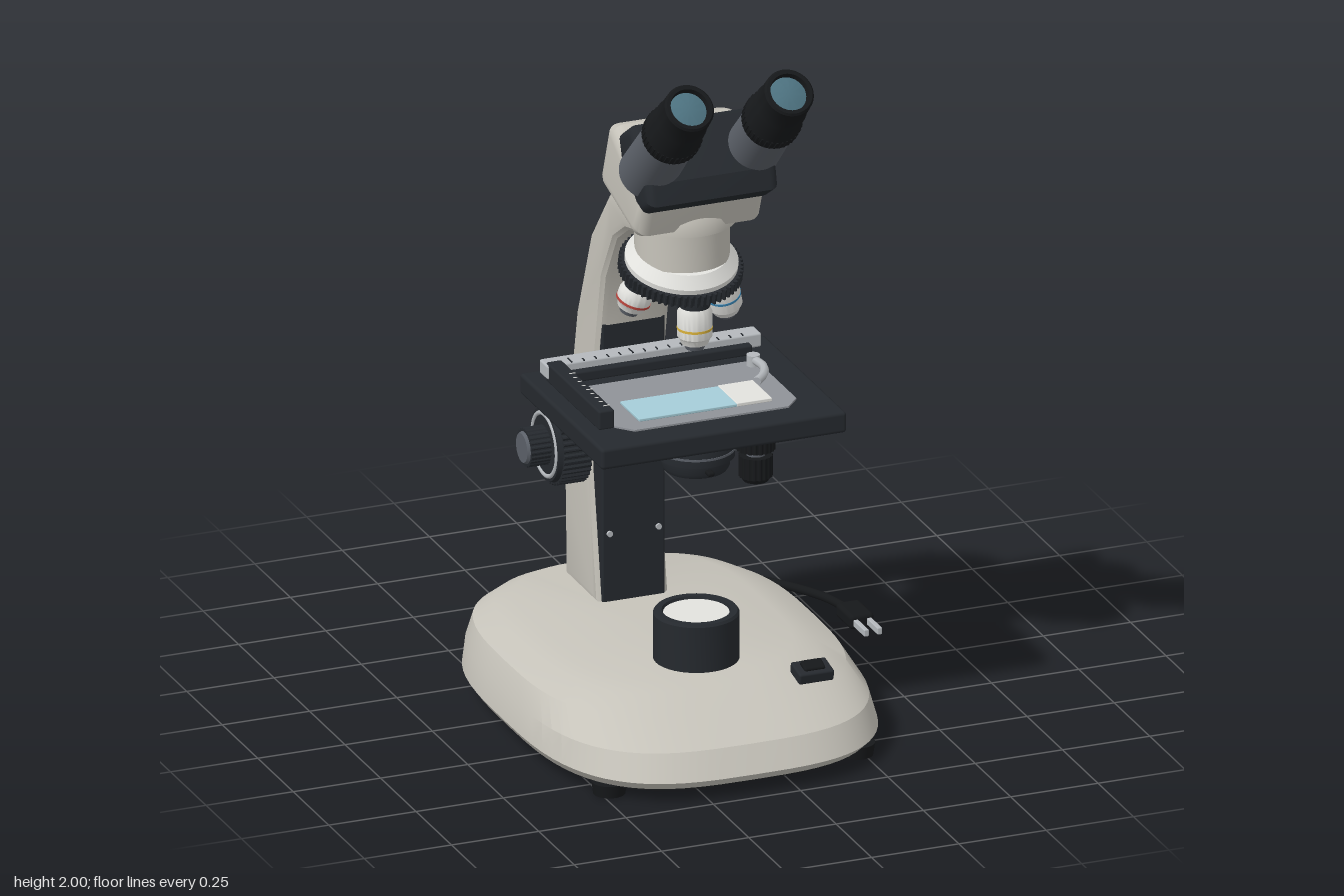
import * as THREE from 'three';
import { toCreasedNormals } from 'three/addons/utils/BufferGeometryUtils.js';
import { RoundedBoxGeometry } from 'three/addons/geometries/RoundedBoxGeometry.js';

const CX = -0.12; // optical axis in x
const mat = (color) => new THREE.MeshStandardMaterial({ color });
const cream = mat(0xc6c3ba), dark = mat(0x25292e), black = mat(0x16181a), slate = mat(0x5b6068),
  silver = mat(0xb4b8bc), plate = mat(0x8f9298), white = mat(0xe2e2de), glass = mat(0x4d7280),
  slideBlue = mat(0xa5cdd8);

function add(parent, name, geo, material, x = 0, y = 0, z = 0) {
  const m = new THREE.Mesh(geo, material);
  m.name = name;
  m.position.set(x, y, z);
  parent.add(m);
  return m;
}
function group(parent, name, x = 0, y = 0, z = 0) {
  const g = new THREE.Group();
  g.name = name;
  g.position.set(x, y, z);
  parent.add(g);
  return g;
}
// Box given by its limits on each axis
function box(parent, name, material, [x0, x1], [y0, y1], [z0, z1], r = 0.006) {
  return add(parent, name, new RoundedBoxGeometry(x1 - x0, y1 - y0, z1 - z0, 2, r), material,
    (x0 + x1) / 2, (y0 + y1) / 2, (z0 + z1) / 2);
}
const cyl = (r1, r0, h) => new THREE.CylinderGeometry(r1, r0, h, 48);
const lathe = (pts) => toCreasedNormals(
  new THREE.LatheGeometry(pts.map(([r, y]) => new THREE.Vector2(r, y)), 48), 0.6);

// Side outline in (z, y), extruded across x and centred, with rounded edges
function sideExtrude(pts, width, bevel, segments = 3) {
  const g = new THREE.ExtrudeGeometry(new THREE.Shape(pts.map(([z, y]) => new THREE.Vector2(z, y))), {
    depth: width - 2 * bevel, bevelThickness: bevel, bevelSize: bevel, bevelOffset: -bevel, bevelSegments: segments });
  g.translate(0, 0, -(width - 2 * bevel) / 2);
  return toCreasedNormals(g.rotateY(-Math.PI / 2), 0.5);
}

// Grooved grip with its axis along y, centred
function grip(r, h, teeth) {
  const pts = [];
  for (let i = 0; i < teeth * 4; i++) {
    const a = (i / (teeth * 4)) * Math.PI * 2, k = i % 4 < 2 ? r : r * 0.95;
    pts.push(new THREE.Vector2(k * Math.cos(a), k * Math.sin(a)));
  }
  const g = new THREE.ExtrudeGeometry(new THREE.Shape(pts), { depth: h, bevelEnabled: false });
  return g.translate(0, 0, -h / 2).rotateX(-Math.PI / 2);
}

// Rounded-rectangle loft: rings of [y, half width, back z, front z]
function loft(rings, n = 3.1, seg = 72) {
  const pos = [], idx = [];
  const pow = (v) => Math.sign(v) * Math.abs(v) ** (2 / n);
  rings.forEach(([y, hx, zb, zf], i) => {
    for (let j = 0; j < seg; j++) {
      const a = (j / seg) * Math.PI * 2;
      pos.push(CX + hx * pow(Math.cos(a)), y, (zb + zf) / 2 + ((zf - zb) / 2) * pow(Math.sin(a)));
      if (i === rings.length - 1) continue;
      const p = i * seg + j, q = i * seg + (j + 1) % seg;
      idx.push(p, p + seg, q, q, p + seg, q + seg);
    }
  });
  const g = new THREE.BufferGeometry();
  g.setAttribute('position', new THREE.Float32BufferAttribute(pos, 3));
  g.setIndex(idx);
  return toCreasedNormals(g, 0.4);
}

function buildBase(root) {
  const g = group(root, 'base');
  add(g, 'baseHousing', loft([[0.035, 0, 0.12, 0.12], [0.035, 0.462, -0.468, 0.71], [0.06, 0.48, -0.485, 0.735],
    [0.13, 0.468, -0.48, 0.69], [0.19, 0.44, -0.465, 0.565], [0.22, 0.375, -0.445, 0.49],
    [0.235, 0.315, -0.42, 0.44], [0.235, 0, 0.1, 0.1]]), cream);
  add(g, 'bottomPlate', loft([[0.025, 0, 0.12, 0.12], [0.025, 0.45, -0.455, 0.695],
    [0.04, 0.45, -0.455, 0.695], [0.04, 0, 0.12, 0.12]]), black);
  for (const x of [-0.355, 0.355]) for (const z of [-0.27, 0.57])
    add(g, 'foot', cyl(0.048, 0.043, 0.035), black, CX + x, 0.0175, z);
  // Lamp with recessed diffuser
  add(g, 'lampHousing', lathe([[0, 0], [0.115, 0], [0.115, 0.13], [0.11, 0.137], [0.092, 0.137], [0.088, 0.125], [0, 0.125]]),
    dark, CX, 0.234, 0.31);
  add(g, 'lampDiffuser', cyl(0.088, 0.088, 0.01), white, CX, 0.359, 0.31);
  // Power switch on the front slope
  const s = group(g, 'powerSwitch', 0.135, 0.23, 0.5);
  s.rotation.x = 0.2;
  box(s, 'switchFrame', dark, [-0.05, 0.05], [-0.02, 0.012], [-0.035, 0.035]);
  box(s, 'switchRocker', black, [-0.03, 0.03], [0, 0.022], [-0.02, 0.02]).rotation.x = 0.15;
}

function buildCord(root) {
  const g = group(root, 'powerCord');
  box(g, 'cordSocket', black, [-0.16, -0.08], [0.08, 0.125], [-0.495, -0.46]);
  const path = [[-0.12, 0.105, -0.48], [-0.12, 0.085, -0.56], [-0.06, 0.045, -0.67], [0.12, 0.02, -0.73],
    [0.3, 0.02, -0.685], [0.44, 0.025, -0.57], [0.53, 0.032, -0.41], [0.56, 0.035, -0.29]];
  add(g, 'cord', new THREE.TubeGeometry(new THREE.CatmullRomCurve3(
    path.map((p) => new THREE.Vector3(...p))), 80, 0.012, 10), black);
  box(g, 'plug', black, [0.525, 0.595], [0.015, 0.057], [-0.3, -0.19], 0.012);
  for (const x of [0.541, 0.579]) box(g, 'prong', silver, [x - 0.007, x + 0.007], [0.025, 0.045], [-0.2, -0.115], 0.003);
}

function buildArm(root) {
  const g = group(root, 'arm');
  add(g, 'armCasting', sideExtrude([[-0.13, 0.225], [-0.19, 0.6], [-0.165, 0.85], [-0.13, 1.03], [-0.1, 1.18],
    [-0.02, 1.32], [0.06, 1.375], [0.16, 1.4], [0.2, 1.49], [0.07, 1.505], [-0.06, 1.445], [-0.19, 1.28],
    [-0.29, 1.02], [-0.35, 0.73], [-0.375, 0.49], [-0.367, 0.225]], 0.21, 0.028), cream, CX);
  box(g, 'rackPanel', dark, [-0.21, -0.03], [0.23, 1.035], [-0.24, -0.13]);
  for (const y of [0.43, 0.93]) for (const x of [-0.19, -0.05])
    add(g, 'panelScrew', cyl(0.008, 0.008, 0.01).rotateX(Math.PI / 2), silver, x, y, -0.128);
  // Coaxial focus knobs, mirrored
  const f = group(g, 'focusKnobs', CX, 0.695, -0.175);
  for (const s of [-1, 1]) {
    const k = group(f, 'focusKnob');
    k.rotation.z = -s * Math.PI / 2;
    add(k, 'focusShaft', cyl(0.032, 0.032, 0.16), silver, 0, 0.09);
    add(k, 'coarseGrip', grip(0.113, 0.08, 40), dark, 0, 0.185);
    add(k, 'coarseRim', cyl(0.1, 0.105, 0.016), dark, 0, 0.23);
    add(k, 'coarseRing', new THREE.TorusGeometry(0.086, 0.007, 8, 48).rotateX(Math.PI / 2), silver, 0, 0.236);
    add(k, 'fineGrip', grip(0.054, 0.062, 24), dark, 0, 0.264);
    add(k, 'fineCap', cyl(0.04, 0.046, 0.01), slate, 0, 0.298);
  }
}

function buildStage(root) {
  const g = group(root, 'stage');
  box(g, 'stagePlate', dark, [-0.47, 0.233], [0.897, 0.957], [-0.075, 0.505], 0.01);
  // Bright insert with clipped front corners
  const ins = new THREE.Shape([[-0.38, 0.09], [0.14, 0.09], [0.14, 0.375], [0.1, 0.42], [-0.34, 0.42], [-0.38, 0.375]]
    .map(([x, z]) => new THREE.Vector2(x, -z)));
  ins.holes.push(new THREE.Path().absarc(CX, -0.31, 0.05, 0, Math.PI * 2, true));
  add(g, 'stageInsert', new THREE.ExtrudeGeometry(ins, { depth: 0.006, bevelEnabled: false }).rotateX(-Math.PI / 2), plate, 0, 0.956);
  box(g, 'slide', slideBlue, [-0.31, 0.07], [0.963, 0.971], [0.24, 0.375], 0.002);
  box(g, 'slideLabel', white, [-0.03, 0.071], [0.963, 0.973], [0.239, 0.376], 0.002);
  // Mechanical slide holder
  box(g, 'crossRuler', silver, [-0.43, 0.185], [0.966, 1.006], [-0.035, 0.022]);
  for (let i = 0; i < 15; i++)
    box(g, 'rulerMark', dark, [-0.36 + i * 0.035, -0.356 + i * 0.035], [1.004, 1.0075], [i % 5 ? 0.005 : -0.01, 0.02], 0.0005);
  box(g, 'rulerMount', dark, [-0.4, 0.15], [0.955, 0.985], [0.015, 0.045]);
  box(g, 'sideRail', dark, [-0.425, -0.38], [0.955, 1.01], [0, 0.375]);
  for (let i = 0; i < 9; i++)
    box(g, 'railMark', white, [-0.4, i % 4 ? -0.388 : -0.381], [1.008, 1.0115], [0.1 + i * 0.03, 0.103 + i * 0.03], 0.0005);
  const clip = [[0.12, 0.12], [0.125, 0.18], [0.105, 0.23], [0.07, 0.27]].map(([x, z]) => new THREE.Vector3(x, 0.98, z));
  add(g, 'slideClip', new THREE.TubeGeometry(new THREE.CatmullRomCurve3(clip), 24, 0.012, 8), silver);
  add(g, 'clipPivot', cyl(0.018, 0.018, 0.035), silver, 0.12, 0.975, 0.12);
  // Carrier and condenser
  box(g, 'stageCarrier', dark, [-0.255, 0.02], [0.81, 0.905], [-0.205, -0.06]);
  box(g, 'condenserArm', dark, [-0.2, -0.04], [0.82, 0.855], [-0.08, 0.25]);
  add(g, 'condenser', lathe([[0, 0.778], [0.085, 0.778], [0.092, 0.79], [0.092, 0.815], [0.105, 0.815], [0.105, 0.865],
    [0.095, 0.882], [0.085, 0.9], [0, 0.9]]), dark, CX, 0, 0.305);
  add(g, 'condenserRing', cyl(0.107, 0.107, 0.006), slate, CX, 0.838, 0.305);
  box(g, 'irisLever', black, [-0.13, -0.11], [0.792, 0.805], [0.38, 0.42]);
  add(g, 'condenserLens', cyl(0.05, 0.05, 0.04), glass, CX, 0.92, 0.305);
  // Coaxial stage drive hanging below
  const d = group(g, 'stageDrive', 0.17, 0, 0.015);
  box(d, 'driveBlock', dark, [-0.05, 0.042], [0.75, 0.91], [-0.055, 0.06]);
  add(d, 'upperDriveKnob', grip(0.053, 0.08, 22), black, 0, 0.715);
  add(d, 'driveShaft', cyl(0.026, 0.026, 0.16), slate, 0, 0.69);
  add(d, 'lowerDriveKnob', grip(0.046, 0.06, 18), black, 0, 0.628);
  add(d, 'driveKnobCap', cyl(0.042, 0.034, 0.014), black, 0, 0.592);
}

function buildHead(root) {
  const g = group(root, 'head');
  add(g, 'headCollar', lathe([[0, 1.35], [0.127, 1.35], [0.127, 1.452], [0.145, 1.458], [0.145, 1.495], [0.13, 1.52], [0, 1.52]]),
    cream, CX, 0, 0.21);
  add(g, 'prismHousing', sideExtrude([[0.375, 1.58], [0.345, 1.62], [0.155, 1.727], [0.115, 1.715], [0.06, 1.56],
    [0.075, 1.525], [0.3, 1.462], [0.335, 1.475]], 0.36, 0.035, 5), cream, CX);
  add(g, 'binocularBody', sideExtrude([[0.44, 1.6], [0.425, 1.66], [0.31, 1.778], [0.28, 1.775], [0.208, 1.725],
    [0.23, 1.66], [0.34, 1.57], [0.38, 1.56]], 0.375, 0.025, 4), dark, CX);
  for (const x of [-0.143, 0.143]) {
    const e = group(g, 'eyepiece', CX + x, 1.952, 0.617);
    e.rotation.x = Math.PI / 4;
    add(e, 'eyeTube', cyl(0.073, 0.077, 0.24), slate, 0, -0.31);
    add(e, 'eyeCup', lathe([[0, -0.205], [0.074, -0.205], [0.079, -0.195], [0.079, -0.155], [0.073, -0.145], [0.073, -0.09],
      [0.07, -0.085], [0.068, -0.006], [0.063, 0], [0.053, 0], [0.05, -0.02], [0, -0.02]]), black);
    add(e, 'diopterRing', grip(0.081, 0.035, 36), black, 0, -0.175);
    add(e, 'eyeLens', lathe([[0.051, -0.018], [0.03, -0.012], [0, -0.009]]), glass);
  }
}

function buildTurret(root) {
  const g = group(root, 'turret', CX, 1.315, 0.2);
  g.rotation.x = 0.26;
  add(g, 'turretDome', lathe([[0, 0], [0.152, 0], [0.152, 0.03], [0.125, 0.06], [0, 0.065]]), white);
  add(g, 'turretGrip', grip(0.167, 0.032, 60), dark);
  add(g, 'turretUnderside', cyl(0.145, 0.1, 0.03), slate, 0, -0.028);
  // Four objectives of different reach: [length, band color], from the front towards +x
  [[0.12, 0xd9b23c], [0.14, 0x3f8fc0], [0.11, 0xe0e0e0], [0.08, 0xb8443c]].forEach(([len, color], i) => {
    const pivot = group(g, 'objectivePivot');
    pivot.rotation.y = i * Math.PI / 2;
    const o = group(pivot, 'objective', 0, -0.02, 0.108);
    o.rotation.x = -0.26;
    const tip = -0.03 - len;
    add(o, 'objectiveMount', cyl(0.04, 0.04, 0.06), dark, 0, -0.01);
    add(o, 'objectiveBarrel', lathe([[0, tip + 0.015], [0.036, tip + 0.015], [0.042, tip + 0.03], [0.047, tip + 0.036],
      [0.047, -0.045], [0.04, -0.03], [0, -0.03]]), white);
    add(o, 'colorBand', cyl(0.0478, 0.0478, 0.007), mat(color), 0, -0.03 - len * 0.5);
    add(o, 'objectiveTip', cyl(0.032, 0.025, 0.02), slate, 0, tip + 0.01);
  });
}

export function createModel() {
  const root = new THREE.Group();
  root.name = 'microscope';
  [buildBase, buildCord, buildArm, buildStage, buildHead, buildTurret].forEach((build) => build(root));
  return root;
}
